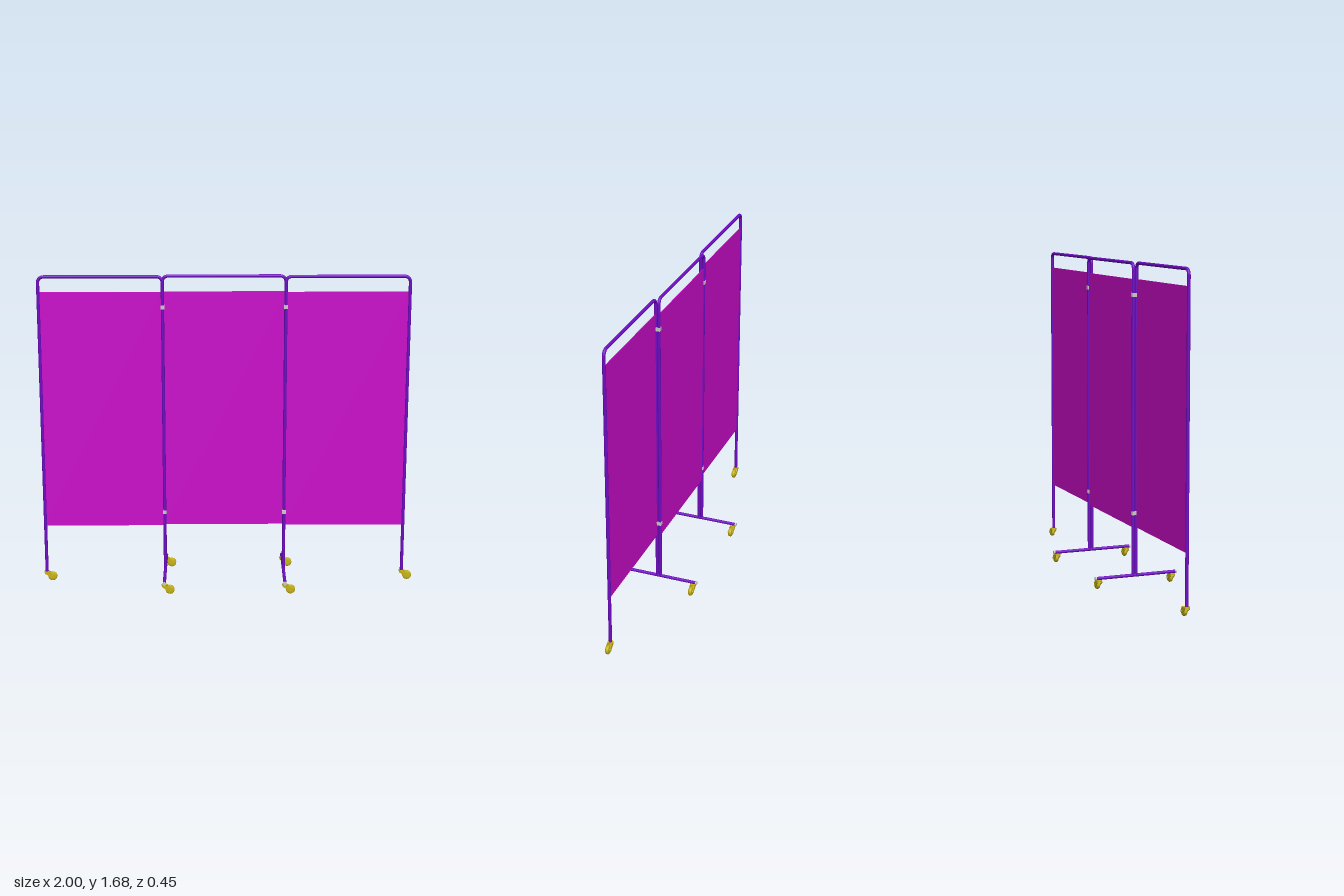
import * as THREE from 'three';

const paint = (color) => new THREE.MeshStandardMaterial({ color });
const purple = paint(0x6f0cc4);
const magenta = paint(0xcc0ccc);
const yellow = paint(0xc8b414);
const grey = paint(0xcccccc);

const R = 0.0085;               // tube radius
const POLES = [-0.985, -0.341, 0.301, 0.945];
const TOP = 1.674;
const BACK = -0.017;            // middle section sits just behind the others

function add(parent, name, geometry, material, x = 0, y = 0, z = 0) {
  const mesh = new THREE.Mesh(geometry, material);
  mesh.name = name;
  mesh.position.set(x, y, z);
  parent.add(mesh);
  return mesh;
}

// Bent tube: up one side, over the top, down the other
function frameGeometry(x0, x1, foot0, foot1) {
  const c = 0.03;
  const v = (x, y) => new THREE.Vector3(x, y, 0);
  const path = new THREE.CurvePath();
  const corner = [];
  const arc = (cx, a0, a1) => {
    for (let i = 0; i <= 8; i++) {
      const a = a0 + (a1 - a0) * i / 8;
      corner.push(v(cx + c * Math.cos(a), TOP - c + c * Math.sin(a)));
    }
  };
  arc(x0 + c, Math.PI, Math.PI / 2);
  arc(x1 - c, Math.PI / 2, 0);
  const points = [v(x0, foot0), ...corner, v(x1, foot1)];
  for (let i = 1; i < points.length; i++) path.add(new THREE.LineCurve3(points[i - 1], points[i]));
  // Sample exactly at the bend points
  path.getPointAt = (u) => path.getPoint(u);
  path.getPoint = (u) => {
    const t = u * (points.length - 1);
    const i = Math.min(Math.floor(t), points.length - 2);
    return points[i].clone().lerp(points[i + 1], t - i);
  };
  path.getTangentAt = (u) => {
    const i = Math.round(u * (points.length - 1));
    const a = points[Math.max(i - 1, 0)], b = points[Math.min(i + 1, points.length - 1)];
    if (i === 1) return v(0, 1);
    if (i === points.length - 2) return v(0, -1);
    if (i === 9 || i === 10) return v(1, 0);
    return b.clone().sub(a).normalize();
  };
  return new THREE.TubeGeometry(path, points.length - 1, R, 16, false);
}

// Swivel caster, wheel trailing towards +x
function caster(x, z) {
  const g = new THREE.Group();
  g.name = 'caster';
  g.position.set(x, 0, z);
  add(g, 'swivelPlate', new THREE.CylinderGeometry(0.015, 0.015, 0.006, 20), yellow, 0, 0.05, 0);
  add(g, 'swivelBearing', new THREE.CylinderGeometry(0.011, 0.013, 0.008, 20), yellow, 0, 0.043, 0);
  const tyre = [[0.006, -0.009], [0.02, -0.009], [0.024, -0.005], [0.024, 0.005], [0.02, 0.009], [0.006, 0.009]];
  const wheel = add(g, 'wheel', new THREE.LatheGeometry(tyre.map(p => new THREE.Vector2(...p)), 28),
    yellow, 0.03, 0.0245, 0);
  wheel.rotation.x = Math.PI / 2;
  const axle = add(g, 'axle', new THREE.CylinderGeometry(0.006, 0.006, 0.032, 14), yellow, 0.03, 0.0245, 0);
  axle.rotation.x = Math.PI / 2;
  // Fork cheeks reach from the bearing to the axle
  const cheek = new THREE.Shape();
  cheek.moveTo(-0.01, 0.048);
  cheek.lineTo(0.018, 0.048);
  cheek.lineTo(0.038, 0.03);
  cheek.absarc(0.03, 0.0245, 0.0095, 0.6, -Math.PI * 0.75, true);
  cheek.lineTo(-0.01, 0.04);
  const geo = new THREE.ExtrudeGeometry(cheek, { depth: 0.003, bevelEnabled: false });
  for (const side of [0.0105, -0.0135]) add(g, 'forkCheek', geo, yellow, 0, 0, side);
  add(g, 'forkBridge', new THREE.BoxGeometry(0.018, 0.004, 0.024), yellow, 0.001, 0.047, 0);
  return g;
}

export function createModel() {
  const root = new THREE.Group();
  root.name = 'foldingScreen';

  // Three sections, each a tube frame with a cloth panel
  for (let i = 0; i < 3; i++) {
    const x0 = POLES[i], x1 = POLES[i + 1];
    const z = i === 1 ? BACK : 0;
    const section = new THREE.Group();
    section.name = 'section';
    section.position.z = z;
    root.add(section);
    add(section, 'tubeFrame', frameGeometry(x0, x1, i === 0 ? 0.05 : 0.062, i === 2 ? 0.05 : 0.062), purple);
    add(section, 'clothPanel', new THREE.BoxGeometry(x1 - x0, 1.278, 0.004), magenta, (x0 + x1) / 2, 0.954, 0);
  }

  // Hinges and cross feet at the two inner joints
  for (const x of POLES.slice(1, 3)) {
    for (const y of [0.39, 1.514]) {
      add(root, 'hinge', new THREE.BoxGeometry(0.02, 0.02, 0.034), grey, x, y, BACK / 2);
    }
    const bar = add(root, 'crossFoot', new THREE.CylinderGeometry(R, R, 0.44, 16), purple, x, 0.062, 0);
    bar.rotation.x = Math.PI / 2;
    for (const s of [1, -1]) {
      const cap = add(root, 'endCap', new THREE.CylinderGeometry(0.0095, 0.0095, 0.008, 16), grey, x, 0.062, s * 0.223);
      cap.rotation.x = Math.PI / 2;
      root.add(caster(x, s * 0.204));
    }
  }

  // Casters under the outer poles
  for (const x of [POLES[0], POLES[3]]) root.add(caster(x, 0));

  return root;
}
